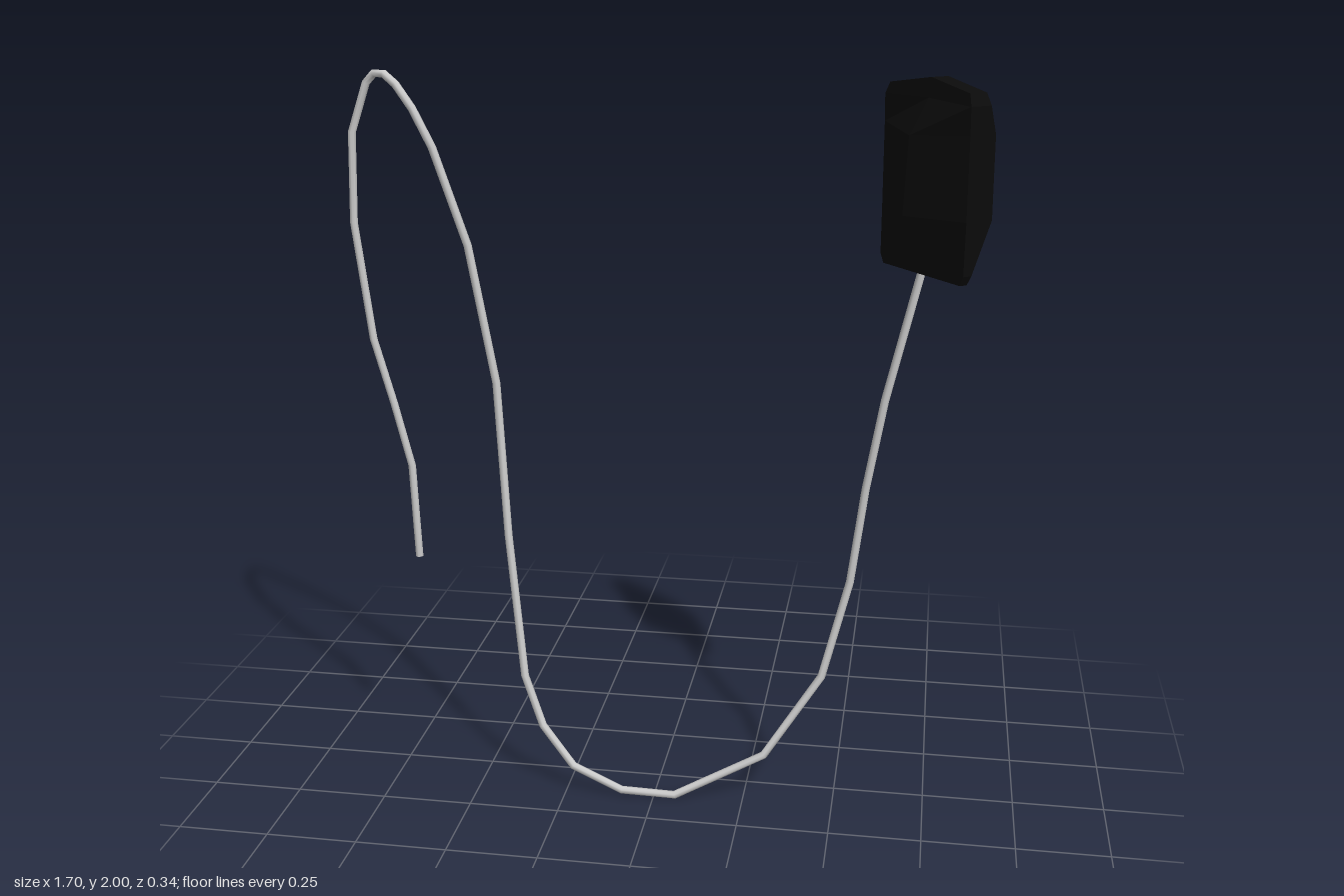
import * as THREE from 'three';

// Curve through straight segments, one per pair of points
class Polyline extends THREE.Curve {
  constructor(points) { super(); this.points = points; }
  getPoint(t, target = new THREE.Vector3()) {
    const f = t * (this.points.length - 1);
    const i = Math.min(Math.floor(f), this.points.length - 2);
    return target.lerpVectors(this.points[i], this.points[i + 1], f - i);
  }
  getPointAt(u, target) { return this.getPoint(u, target); }
  getTangentAt(u, target) { return this.getTangent(u, target); }
}

function createCord() {
  const path = [
    [-0.695, 0.64, 0], [-0.705, 0.91, 0], [-0.75, 1.09, -0.003], [-0.8, 1.27, -0.005],
    [-0.84, 1.59, -0.01], [-0.835, 1.83, -0.018], [-0.79, 1.96, -0.02], [-0.765, 1.985, -0.013],
    [-0.735, 1.985, -0.004], [-0.7, 1.96, 0.01], [-0.655, 1.9, 0.02], [-0.605, 1.8, 0.02],
    [-0.52, 1.54, 0.01], [-0.455, 1.16, 0], [-0.425, 0.73, 0.03], [-0.375, 0.33, 0.083],
    [-0.32, 0.19, 0.107], [-0.23, 0.08, 0.125], [-0.09, 0.02, 0.133], [0.06, 0.014, 0.127],
    [0.305, 0.135, 0.08], [0.457, 0.365, 0.03], [0.525, 0.64, 0], [0.558, 0.91, 0],
    [0.6, 1.16, 0], [0.68, 1.51, 0], [0.7, 1.97, 0.005],
  ].map((p) => new THREE.Vector3(...p));
  const radius = 0.011;
  const material = new THREE.MeshStandardMaterial({ color: 0xcccccc });
  const group = new THREE.Group();
  group.name = 'cord';
  const strand = new THREE.Mesh(
    new THREE.TubeGeometry(new Polyline(path), path.length - 1, radius, 8), material);
  strand.name = 'strand';
  // Closed free end, facing down
  const end = new THREE.Mesh(new THREE.CircleGeometry(radius, 8), material);
  end.name = 'cordEnd';
  end.position.copy(path[0]);
  end.rotation.x = Math.PI / 2;
  group.add(strand, end);
  return group;
}

function createPouch() {
  // Levels: [y at ends, y at middle, half width, back end, front end, back middle, front middle]
  const levels = [
    [1.505, 1.505, 0.165, -0.036, -0.015, -0.036, -0.013],
    [1.53, 1.53, 0.178, -0.037, -0.012, -0.044, -0.005],
    [1.665, 1.66, 0.179, -0.037, 0.041, -0.1, 0.088],
    [1.875, 1.86, 0.179, -0.039, 0.038, -0.09, 0.083],
    [1.945, 1.95, 0.179, -0.041, 0.02, -0.036, 0.03],
    [1.975, 2.0, 0.166, -0.036, 0.014, -0.03, 0.022],
  ];
  const positions = [], index = [];
  for (const [ye, ym, w, be, fe, bm, fm] of levels) {
    const ring = [[-w, be, ye], [0, bm, ym], [w, be, ye], [w, fe, ye], [0, fm, ym], [-w, fe, ye]];
    for (const [u, n, y] of ring) positions.push(u, y, -n);
  }
  for (let i = 0; i < levels.length - 1; i++) {
    for (let j = 0; j < 6; j++) {
      const a = i * 6 + j, b = i * 6 + (j + 1) % 6;
      index.push(a, b, b + 6, a, b + 6, a + 6);
    }
  }
  // Bottom and top caps
  const t = (levels.length - 1) * 6;
  for (const [a, b, c] of [[0, 1, 4], [0, 4, 5], [1, 2, 3], [1, 3, 4]]) {
    index.push(a, c, b, t + a, t + b, t + c);
  }
  const indexed = new THREE.BufferGeometry();
  indexed.setAttribute('position', new THREE.Float32BufferAttribute(positions, 3));
  indexed.setIndex(index);
  const geometry = indexed.toNonIndexed();
  geometry.computeVertexNormals();
  const pouch = new THREE.Mesh(
    geometry, new THREE.MeshStandardMaterial({ color: 0x0b0b0b, flatShading: true }));
  pouch.name = 'pouch';
  pouch.position.set(0.705, 0, -0.002);
  pouch.rotation.y = -Math.atan2(0.8, 0.6);
  return pouch;
}

export function createModel() {
  const model = new THREE.Group();
  model.name = 'pouchOnCord';
  model.add(createCord(), createPouch());
  return model;
}
